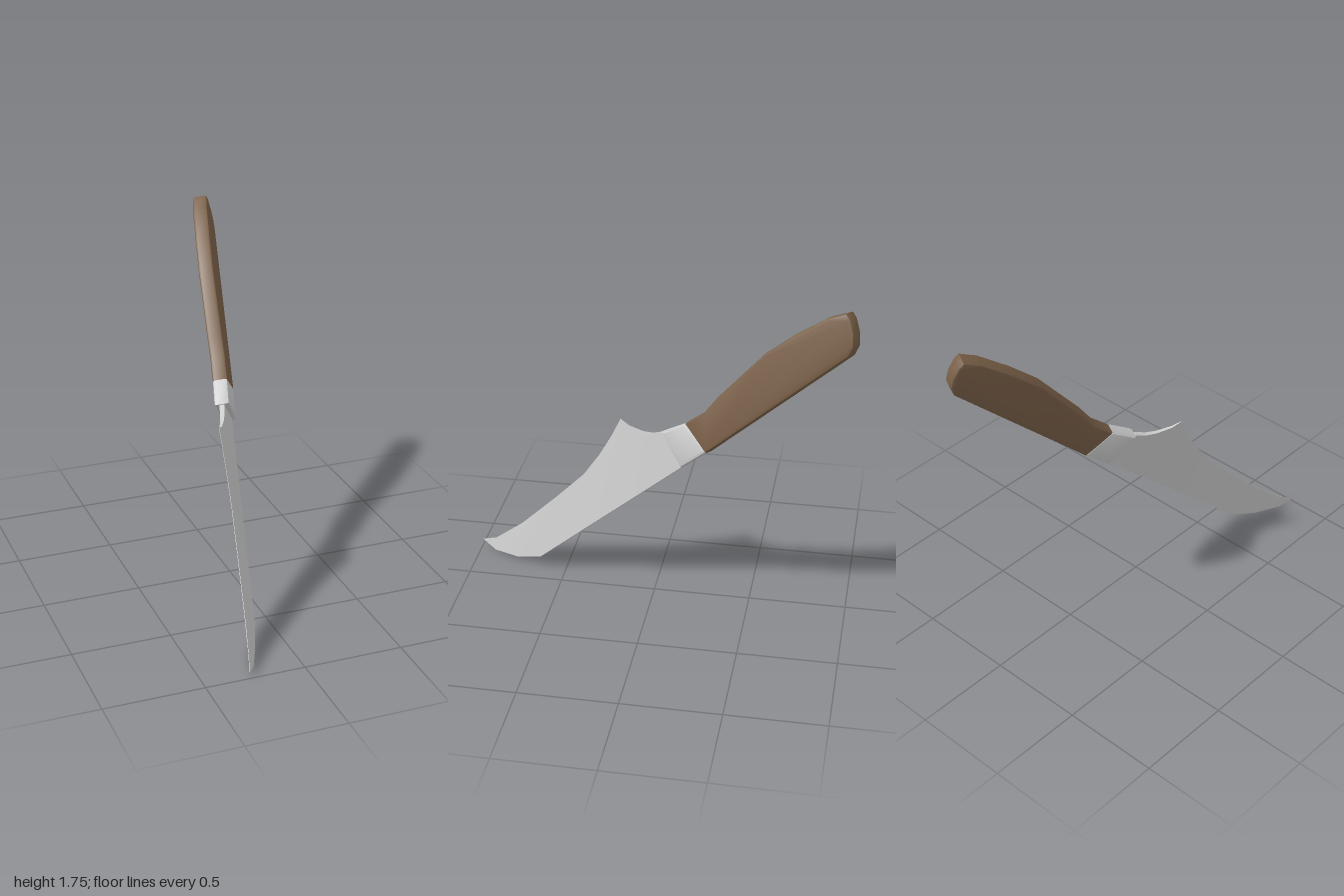
import * as THREE from 'three';
import { toCreasedNormals } from 'three/addons/utils/BufferGeometryUtils.js';

// The knife lies in the tilted plane x = A + B*y + C*z.
const A = 0.168, B = -0.229, C = -0.442;
const normal = new THREE.Vector3(1, -B, -C).normalize();

// Maps side-profile coordinates (z, y, thickness) into that plane.
const toPlane = new THREE.Matrix4().makeBasis(
  new THREE.Vector3(C, 0, 1),
  new THREE.Vector3(B, 1, 0),
  normal.clone().negate()
).setPosition(A, 0, 0);

function makeMesh(name, geometry, material, crease) {
  geometry.applyMatrix4(toPlane);
  const mesh = new THREE.Mesh(toCreasedNormals(geometry, crease), material);
  mesh.name = name;
  return mesh;
}

// Solid slab with chamfered rims, centred on the knife's plane.
function slab(points, thickness, bevel) {
  const shape = new THREE.Shape(points.map(([z, y]) => new THREE.Vector2(z, y)));
  const depth = thickness - 2 * bevel;
  return new THREE.ExtrudeGeometry(shape, {
    depth, bevelEnabled: true, bevelThickness: bevel, bevelSize: bevel,
    bevelOffset: -bevel, bevelSegments: 2
  }).translate(0, 0, -depth / 2);
}

// Wedge-section blade: each station is [edge z, y, half thickness, spine z, y, half thickness].
function bladeGeometry() {
  const stations = [
    [0.997, 0.037, 0.001, 0.995, 0.033, 0.001],
    [0.917, 0.07, 0.001, 0.914, 0.005, 0.009],
    [0.756, 0.204, 0.001, 0.775, 0.014, 0.013],
    [0.552, 0.413, 0.001, 0.633, 0.062, 0.015]
  ];
  // Straight spine behind the tip; edge points run to the heel and round the notch.
  const edge = [
    [0.397, 0.58, 0.001], [0.31, 0.71, 0.001], [0.24, 0.836, 0.001], [0.198, 0.928, 0.001],
    [0.15, 0.906, 0.006], [0.075, 0.898, 0.009], [0.02, 0.905, 0.011], [-0.015, 0.92, 0.012],
    [-0.08, 0.945, 0.012]
  ];
  const along = [0.22, 0.37, 0.49, 0.58, 0.63, 0.72, 0.8, 0.88, 1];
  edge.forEach((e, i) => stations.push(
    [...e, 0.633 - 0.813 * along[i], 0.062 + 0.748 * along[i], 0.015]));

  const positions = [], index = [];
  stations.forEach(([ez, ey, et, sz, sy, st], i) => {
    positions.push(ez, ey, et, ez, ey, -et, sz, sy, -st, sz, sy, st);
    if (i === stations.length - 1) return;
    for (let k = 0; k < 4; k++) {
      const a = i * 4 + k, b = i * 4 + (k + 1) % 4;
      index.push(b, b + 4, a + 4, b, a + 4, a);
    }
  });
  // Close the tip and the end inside the bolster
  const n = (stations.length - 1) * 4;
  index.push(0, 3, 2, 0, 2, 1, n, n + 1, n + 2, n, n + 2, n + 3);
  const geometry = new THREE.BufferGeometry();
  geometry.setAttribute('position', new THREE.Float32BufferAttribute(positions, 3));
  geometry.setIndex(index);
  return geometry;
}

export function createModel() {
  const steel = new THREE.MeshStandardMaterial({ color: 0xcccccc });
  const wood = new THREE.MeshStandardMaterial({ color: 0x7a6048 });
  const group = new THREE.Group();
  group.name = 'knife';

  // Blade
  group.add(makeMesh('blade', bladeGeometry(), steel, 0.35));

  // Metal collar between blade and handle
  const bolster = [[-0.045, 0.938], [-0.16, 0.79], [-0.295, 0.908], [-0.175, 1.018]];
  group.add(makeMesh('bolster', slab(bolster, 0.078, 0.014), steel, 0.6));

  // Wooden handle with a swelling belly and blunt butt
  const handle = [
    [-0.172, 1.016], [-0.288, 0.9], [-0.968, 1.553], [-0.99, 1.605], [-0.986, 1.66],
    [-0.966, 1.72], [-0.946, 1.747], [-0.86, 1.706], [-0.705, 1.588], [-0.566, 1.465],
    [-0.34, 1.196], [-0.271, 1.1]
  ];
  group.add(makeMesh('handle', slab(handle, 0.08, 0.014), wood, 0.6));

  return group;
}
